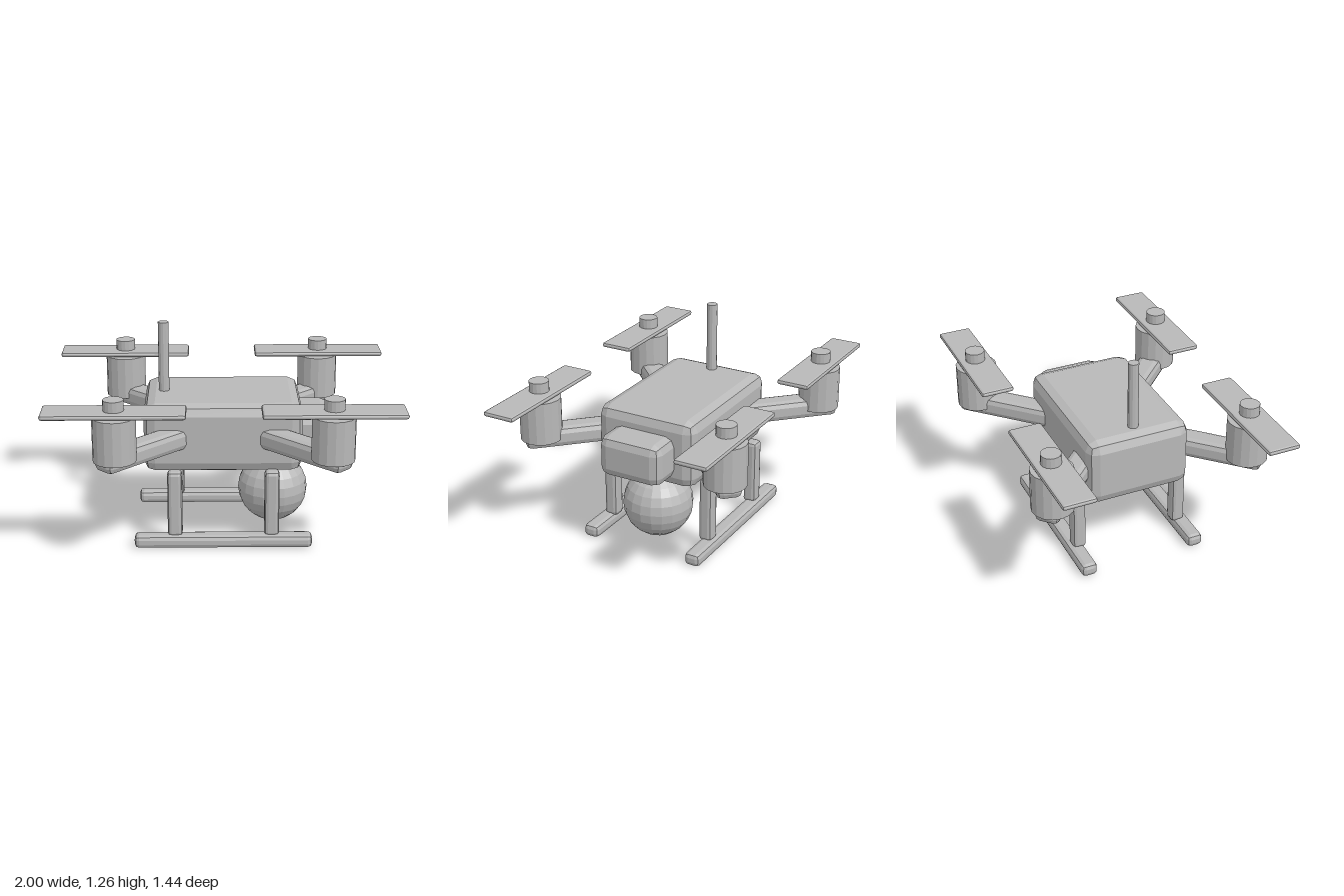
import * as THREE from 'three';
import { RoundedBoxGeometry } from 'three/addons/geometries/RoundedBoxGeometry.js';

export function createModel() {
  const model = new THREE.Group();
  model.name = 'quadcopter';
  const grey = new THREE.MeshStandardMaterial({ color: 0xb8b8b8, flatShading: true });
  grey.name = 'grey';

  const add = (name, geometry, x, y, z, parent = model) => {
    const mesh = new THREE.Mesh(geometry, grey);
    mesh.name = name;
    mesh.position.set(x, y, z);
    parent.add(mesh);
    return mesh;
  };
  // Box with a two-step bevel on every edge
  const bevelBox = (w, h, d, r) => new RoundedBoxGeometry(w, h, d, 1, r);

  // Hull, nose pod, antenna and hanging camera ball
  add('body', bevelBox(0.915, 0.41, 0.63, 0.065), 0, 0.645, 0);
  add('nosePod', bevelBox(0.34, 0.25, 0.394, 0.055), 0.465, 0.626, 0);
  add('antenna', new THREE.CylinderGeometry(0.031, 0.031, 0.48, 12), -0.345, 1.023, 0);
  add('cameraBall', new THREE.SphereGeometry(0.207, 20, 12), 0.3, 0.24, 0);

  // Four rotor units, each on a diagonal arm
  for (const sx of [-1, 1]) {
    for (const sz of [-1, 1]) {
      const rotor = new THREE.Group();
      rotor.name = `${sz > 0 ? 'front' : 'back'}${sx > 0 ? 'Left' : 'Right'}Rotor`;
      model.add(rotor);

      const mid = 0.63 * Math.SQRT1_2;
      const arm = add('arm', bevelBox(0.64, 0.122, 0.145, 0.035), sx * mid, 0.646, sz * mid, rotor);
      arm.rotation.y = -sx * sz * Math.PI / 4;

      add('motor', new THREE.CylinderGeometry(0.122, 0.122, 0.255, 16), sx * 0.603, 0.765, sz * 0.6, rotor);
      add('blade', bevelBox(0.794, 0.03, 0.196, 0.013), sx * 0.603, 0.914, sz * 0.602, rotor);
      add('hub', new THREE.CylinderGeometry(0.058, 0.058, 0.11, 16), sx * 0.603, 0.935, sz * 0.603, rotor);
    }
  }

  // Landing gear: a skid and two legs per side
  for (const sz of [-1, 1]) {
    add('skid', bevelBox(1.035, 0.078, 0.097, 0.026), 0, 0.039, sz * 0.342);
    for (const sx of [-1, 1]) {
      add('leg', bevelBox(0.086, 0.4, 0.082, 0.022), sx * 0.281, 0.264, sz * 0.322);
    }
  }

  return model;
}
